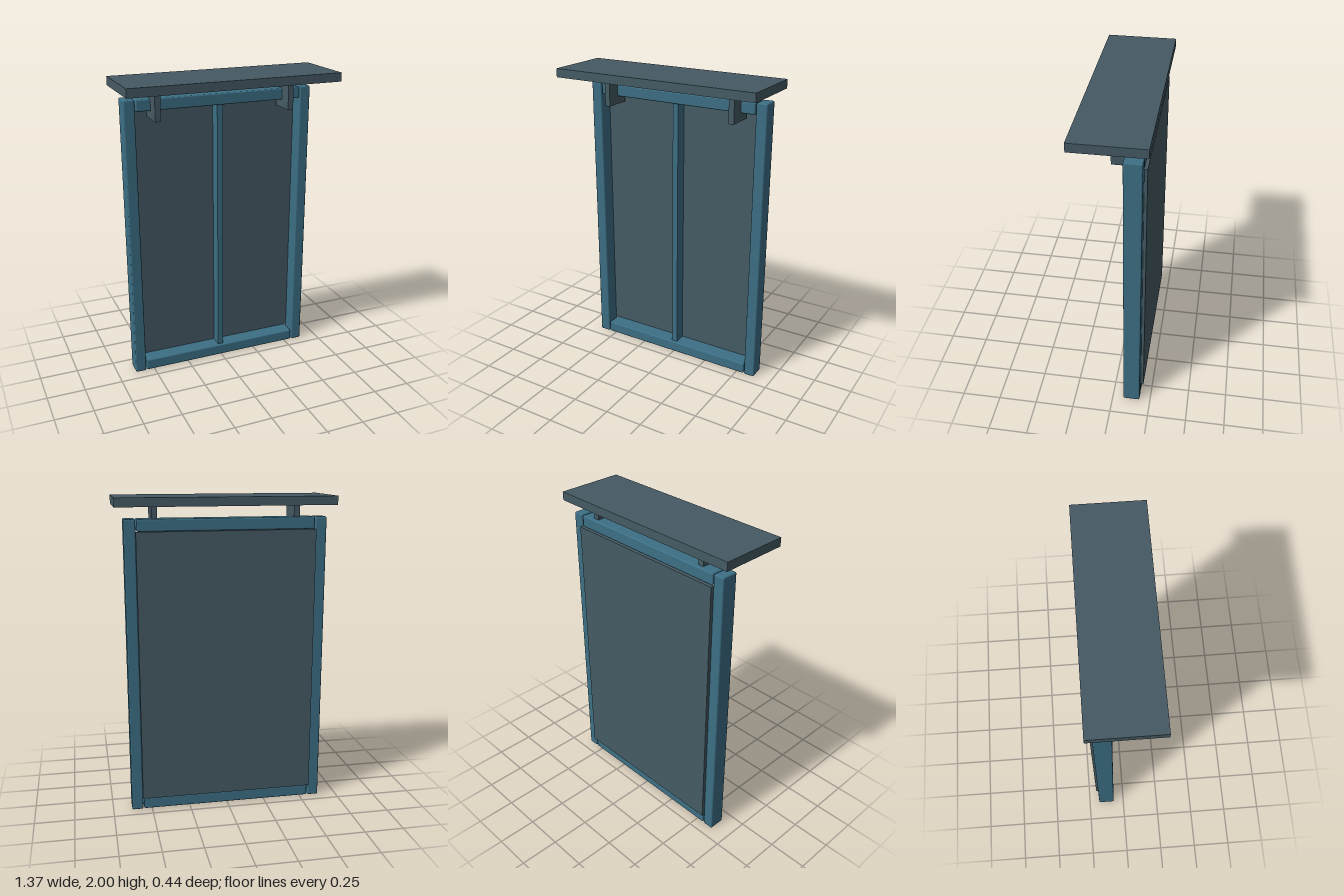
import * as THREE from 'three';
import { RoundedBoxGeometry } from 'three/addons/geometries/RoundedBoxGeometry.js';

export function createModel() {
  const model = new THREE.Group();
  model.name = 'window';

  const slate = new THREE.MeshStandardMaterial({ color: 0x455a64 });
  slate.name = 'slate grey';
  const blue = new THREE.MeshStandardMaterial({ color: 0x3c6f85 });
  blue.name = 'steel blue';

  // Box given by its lower and upper limits; a bevel softens its edges
  function block(name, material, [x0, x1], [y0, y1], [z0, z1], bevel = 0) {
    const size = [x1 - x0, y1 - y0, z1 - z0];
    const geometry = bevel
      ? new RoundedBoxGeometry(...size, 2, bevel)
      : new THREE.BoxGeometry(...size);
    const mesh = new THREE.Mesh(geometry, material);
    mesh.name = name;
    mesh.position.set((x0 + x1) / 2, (y0 + y1) / 2, (z0 + z1) / 2);
    model.add(mesh);
  }

  // Frame: two posts with a rail between them at top and bottom
  const depth = [-0.18, -0.072];
  block('leftPost', blue, [0.558, 0.63], [0, 1.873], depth, 0.009);
  block('rightPost', blue, [-0.63, -0.558], [0, 1.873], depth, 0.009);
  block('bottomRail', blue, [-0.552, 0.552], [0.002, 0.077], depth, 0.009);
  block('topRail', blue, [-0.552, 0.552], [1.798, 1.872], depth, 0.009);

  // Pane standing slightly proud of the back, and the bar dividing it
  block('pane', slate, [-0.559, 0.559], [0.08, 1.798], [-0.197, -0.168]);
  block('centreBar', blue, [-0.019, 0.019], [0.077, 1.798], [-0.17, -0.09]);

  // Canopy on two brackets
  block('canopy', slate, [-0.685, 0.685], [1.945, 2], [-0.219, 0.219]);
  for (const [name, x] of [['leftBracket', 0.443], ['rightBracket', -0.443]]) {
    block(name, slate, [x - 0.018, x + 0.018], [1.748, 1.945], [-0.156, 0.019]);
  }

  return model;
}
